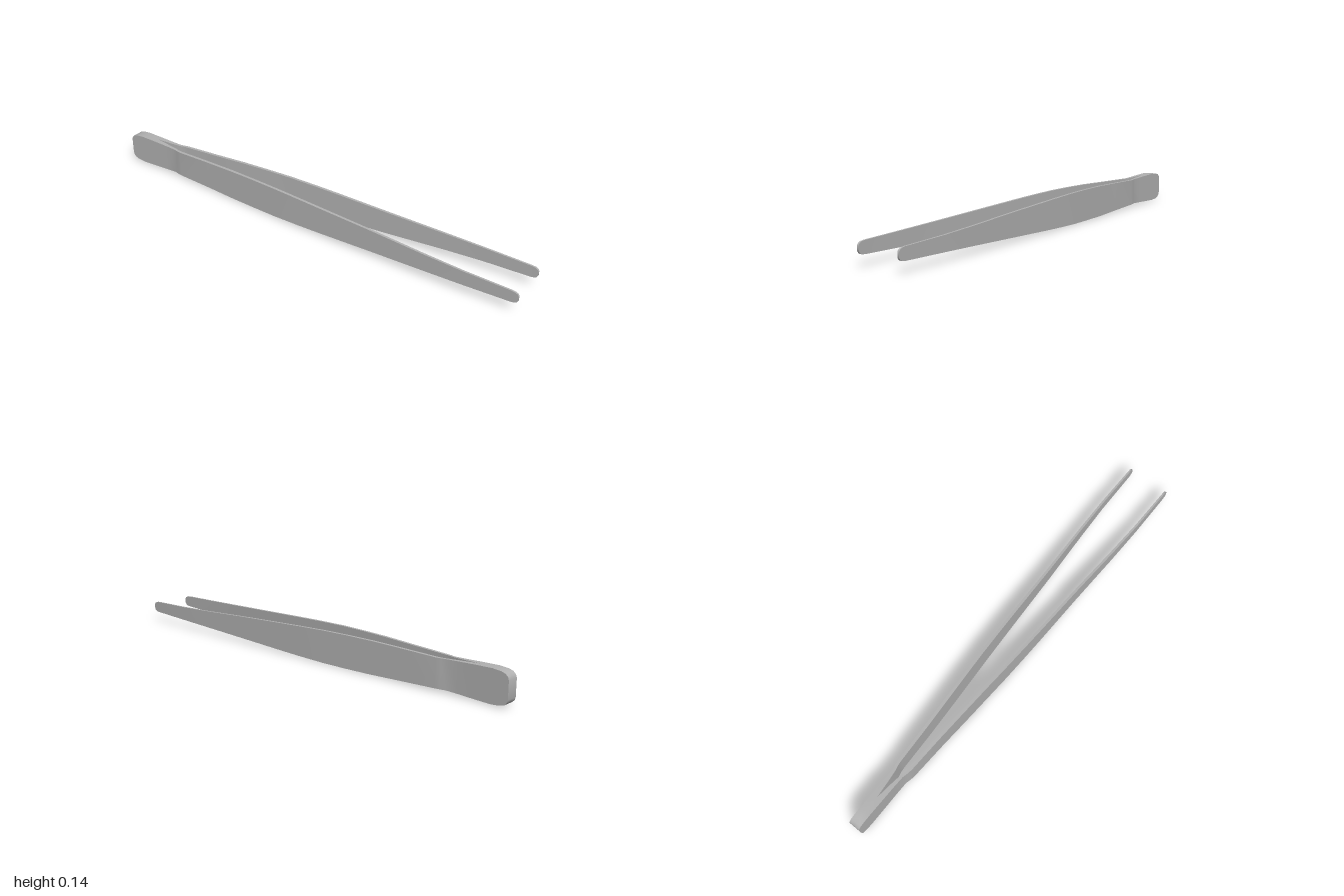
import * as THREE from 'three';
import { toCreasedNormals } from 'three/addons/utils/BufferGeometryUtils.js';

const MID_Y = 0.071;

// Arm stations: x, half height, inner z, outer z
const STATIONS = [
  [-1, 0.036, 0, 0.025], [-0.996, 0.048, 0, 0.025], [-0.985, 0.058, 0, 0.025],
  [-0.965, 0.064, 0, 0.025], [-0.93, 0.067, 0, 0.025], [-0.86, 0.065, 0, 0.025],
  [-0.79, 0.062, 0.007, 0.025], [-0.735, 0.06, 0.014, 0.026], [-0.71, 0.06, 0.02, 0.032],
  [-0.69, 0.06, 0.022, 0.035], [-0.52, 0.065, 0.029, 0.042], [-0.38, 0.069, 0.037, 0.05],
  [-0.25, 0.07, 0.045, 0.057], [-0.13, 0.069, 0.052, 0.064], [0, 0.065, 0.058, 0.07],
  [0.1, 0.061, 0.062, 0.074], [0.35, 0.05, 0.071, 0.082], [0.6, 0.038, 0.083, 0.093],
  [0.77, 0.031, 0.089, 0.098], [0.97, 0.025, 0.09, 0.098], [0.985, 0.023, 0.09, 0.098],
  [0.995, 0.018, 0.09, 0.098], [1, 0.01, 0.09, 0.098],
];

// Skin rectangular cross-sections into one closed arm on the given side
function armGeometry(side) {
  const pos = [], index = [];
  for (const [x, h, zi, zo] of STATIONS) {
    for (const [y, z] of [[-h, zi], [-h, zo], [h, zo], [h, zi]]) pos.push(x, MID_Y + y, z * side);
  }
  const quad = (a, b, c, d) => index.push(...(side > 0 ? [a, b, c, a, c, d] : [a, c, b, a, d, c]));
  const last = (STATIONS.length - 1) * 4;
  for (let i = 0; i < last; i += 4) {
    for (let k = 0; k < 4; k++) {
      const n = (k + 1) % 4;
      quad(i + k, i + 4 + k, i + 4 + n, i + n);
    }
  }
  quad(0, 1, 2, 3);
  quad(last + 3, last + 2, last + 1, last);
  const geo = new THREE.BufferGeometry();
  geo.setAttribute('position', new THREE.Float32BufferAttribute(pos, 3));
  geo.setIndex(index);
  return toCreasedNormals(geo, Math.PI / 5);
}

export function createModel() {
  const group = new THREE.Group();
  group.name = 'tweezers';
  const steel = new THREE.MeshStandardMaterial({ color: 0xb2b2b2 });
  steel.name = 'brushed steel';

  // Two mirrored arms joined at the butt end
  for (const [side, name] of [[1, 'frontArm'], [-1, 'backArm']]) {
    const arm = new THREE.Mesh(armGeometry(side), steel);
    arm.name = name;
    group.add(arm);
  }
  return group;
}
